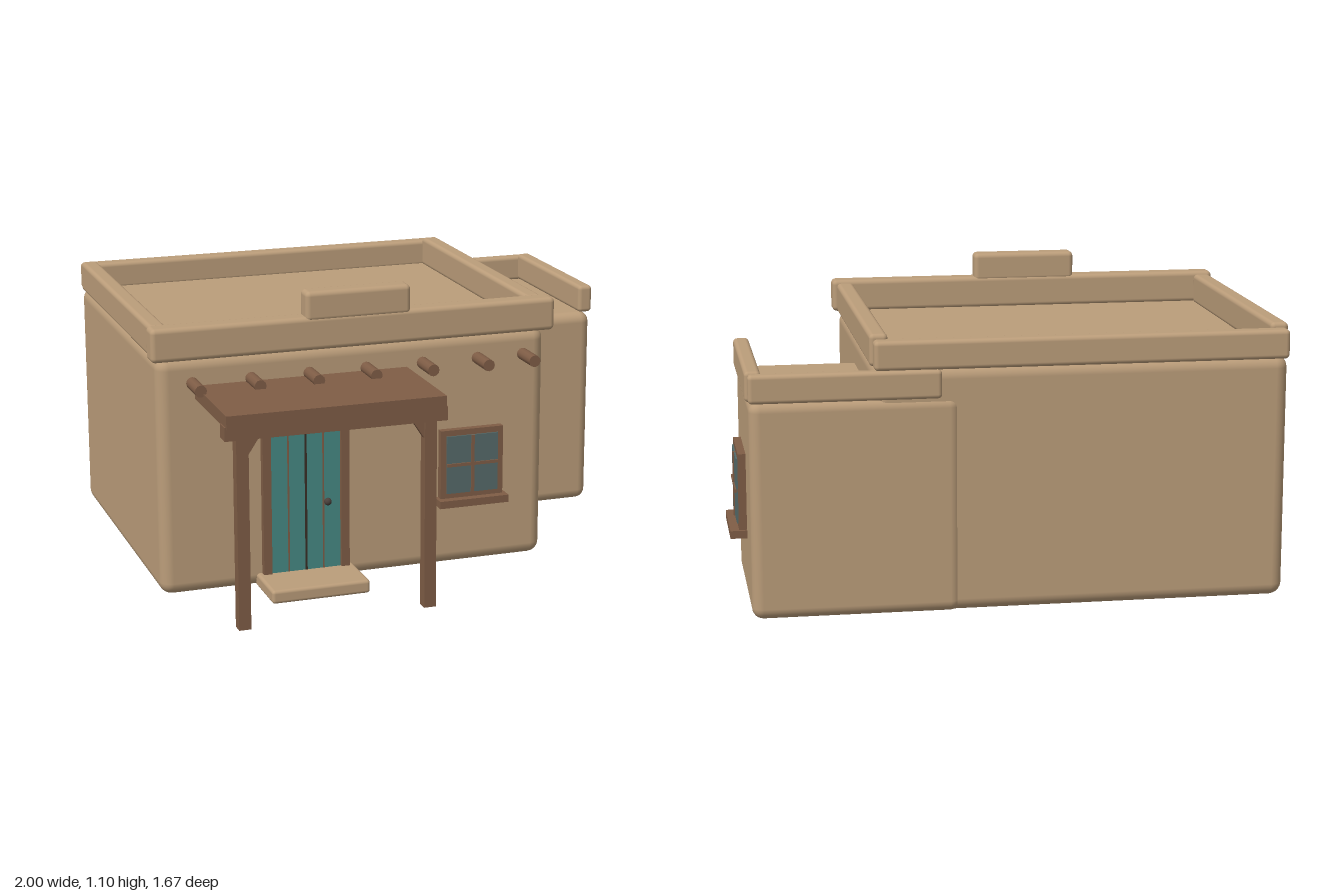
import * as THREE from 'three';
import { RoundedBoxGeometry } from 'three/addons/geometries/RoundedBoxGeometry.js';

const mat = (name, color) => {
  const m = new THREE.MeshStandardMaterial({ color });
  m.name = name;
  return m;
};

export function createModel() {
  const adobe = mat('adobe', 0xbb9d7a);
  const wood = mat('wood', 0x7f5d46);
  const teal = mat('teal paint', 0x468a85);
  const glass = mat('window glass', 0x566b6a);
  const groove = mat('dark groove', 0x3a2e26);
  const iron = mat('iron', 0x4a413c);

  const house = new THREE.Group();
  house.name = 'adobeHouse';

  const add = (parent, name, geometry, material, x = 0, y = 0, z = 0) => {
    const mesh = new THREE.Mesh(geometry, material);
    mesh.name = name;
    mesh.position.set(x, y, z);
    parent.add(mesh);
    return mesh;
  };
  // Boxes given by their limits; a radius rounds the edges
  const box = (parent, name, material, [x0, x1], [y0, y1], [z0, z1], radius = 0) => {
    const size = [x1 - x0, y1 - y0, z1 - z0];
    const geometry = radius
      ? new RoundedBoxGeometry(...size, 3, radius)
      : new THREE.BoxGeometry(...size);
    return add(parent, name, geometry, material, (x0 + x1) / 2, (y0 + y1) / 2, (z0 + z1) / 2);
  };

  // Rounded earthen walls
  box(house, 'mainBody', adobe, [-0.975, 0.505], [0.005, 0.89], [-0.82, 0.42], 0.045);
  box(house, 'sideWing', adobe, [0.2, 0.94], [0.005, 0.785], [-0.827, -0.133], 0.04);

  // Main parapet with its raised front block
  box(house, 'frontParapet', adobe, [-1, 0.53], [0.885, 1.008], [0.372, 0.452], 0.018);
  box(house, 'frontParapetCrest', adobe, [-0.432, -0.035], [0.99, 1.1], [0.375, 0.452], 0.018);
  box(house, 'backParapet', adobe, [-0.975, 0.505], [0.88, 0.985], [-0.83, -0.765], 0.016);
  box(house, 'leftParapet', adobe, [0.45, 0.515], [0.885, 1], [-0.765, 0.36], 0.016);
  box(house, 'rightParapet', adobe, [-0.985, -0.92], [0.885, 1], [-0.765, 0.36], 0.016);

  // Wing parapet, open at the front
  box(house, 'wingSideParapet', adobe, [0.895, 0.952], [0.783, 0.89], [-0.81, -0.152], 0.015);
  box(house, 'wingBackParapet', adobe, [0.27, 0.942], [0.78, 0.882], [-0.84, -0.788], 0.015);

  // Projecting roof beams
  const beamGeometry = new THREE.CylinderGeometry(0.022, 0.022, 0.18, 12).rotateX(Math.PI / 2);
  [-0.847, -0.63, -0.413, -0.197, 0.02, 0.235, 0.415].forEach((x) =>
    add(house, 'roofBeam', beamGeometry, wood, x, 0.797, 0.45));

  // Porch
  const porch = new THREE.Group();
  porch.name = 'porch';
  house.add(porch);
  box(porch, 'porchRoof', wood, [-0.838, -0.04], [0.738, 0.786], [0.4, 0.835]);
  box(porch, 'porchBeam', wood, [-0.843, -0.033], [0.695, 0.745], [0.772, 0.828]);
  const braceShape = new THREE.Shape([
    new THREE.Vector2(0, 0), new THREE.Vector2(0.046, 0.07), new THREE.Vector2(0, 0.07),
  ]);
  const braceGeometry = new THREE.ExtrudeGeometry(braceShape, { depth: 0.025, bevelEnabled: false })
    .translate(0, 0, -0.0125);
  for (const side of [-1, 1]) {
    const x = -0.434 + side * 0.343;
    box(porch, 'porchPost', wood, [x - 0.022, x + 0.022], [0, 0.7], [0.77, 0.814]);
    const brace = add(porch, 'postBrace', braceGeometry, wood, x - side * 0.02, 0.628, 0.792);
    if (side > 0) brace.rotation.y = Math.PI;
  }
  box(porch, 'doorStep', adobe, [-0.62, -0.25], [0.005, 0.055], [0.4, 0.622], 0.012);

  // Door with four planks
  const door = new THREE.Group();
  door.name = 'door';
  house.add(door);
  box(door, 'doorBacking', groove, [-0.57, -0.3], [0.05, 0.615], [0.41, 0.425]);
  for (let i = 0; i < 4; i++) {
    const x = -0.568 + i * 0.0665;
    box(door, 'doorPlank', teal, [x + 0.002, x + 0.0645], [0.05, 0.612], [0.415, 0.437]);
  }
  for (const x of [-0.5015, -0.3685]) {
    box(door, 'plankSeam', wood, [x - 0.003, x + 0.003], [0.055, 0.59], [0.43, 0.439]);
  }
  box(door, 'centreSeam', groove, [-0.439, -0.431], [0.055, 0.59], [0.43, 0.439]);
  for (const x of [-0.599, -0.302]) {
    box(door, 'doorJamb', wood, [x, x + 0.031], [0.03, 0.615], [0.41, 0.447]);
  }
  box(door, 'doorLintel', wood, [-0.6, -0.27], [0.61, 0.645], [0.41, 0.46]);
  add(door, 'doorKnob', new THREE.SphereGeometry(0.014, 14, 10), iron, -0.358, 0.315, 0.458);

  // Window facing +z, its wall surface at local z = 0
  const makeWindow = (name, width, bottom, top) => {
    const group = new THREE.Group();
    group.name = name;
    house.add(group);
    const h = width / 2;
    const mid = (bottom + top) / 2;
    const t = 0.022;
    for (const s of [-1, 1]) {
      box(group, 'windowJamb', wood, s < 0 ? [-h, t - h] : [h - t, h], [bottom, top], [-0.01, 0.028]);
    }
    box(group, 'windowHead', wood, [-h, h], [top - t, top], [-0.01, 0.028]);
    box(group, 'windowFoot', wood, [-h, h], [bottom, bottom + t], [-0.01, 0.028]);
    box(group, 'windowPane', glass, [t - h, h - t], [bottom + t, top - t], [0.026, 0.034]);
    box(group, 'uprightBar', wood, [-0.006, 0.006], [bottom + t, top - t], [0.02, 0.039]);
    box(group, 'crossBar', wood, [t - h, h - t], [mid - 0.006, mid + 0.006], [0.02, 0.039]);
    box(group, 'windowSill', wood, [-h - 0.013, h + 0.013], [bottom - 0.025, bottom + 0.003], [-0.01, 0.06]);
    return group;
  };
  makeWindow('frontWindow', 0.246, 0.27, 0.535).position.set(0.208, 0, 0.42);
  const wingWindow = makeWindow('wingWindow', 0.278, 0.27, 0.55);
  wingWindow.position.set(0.94, 0, -0.447);
  wingWindow.rotation.y = Math.PI / 2;

  return house;
}
